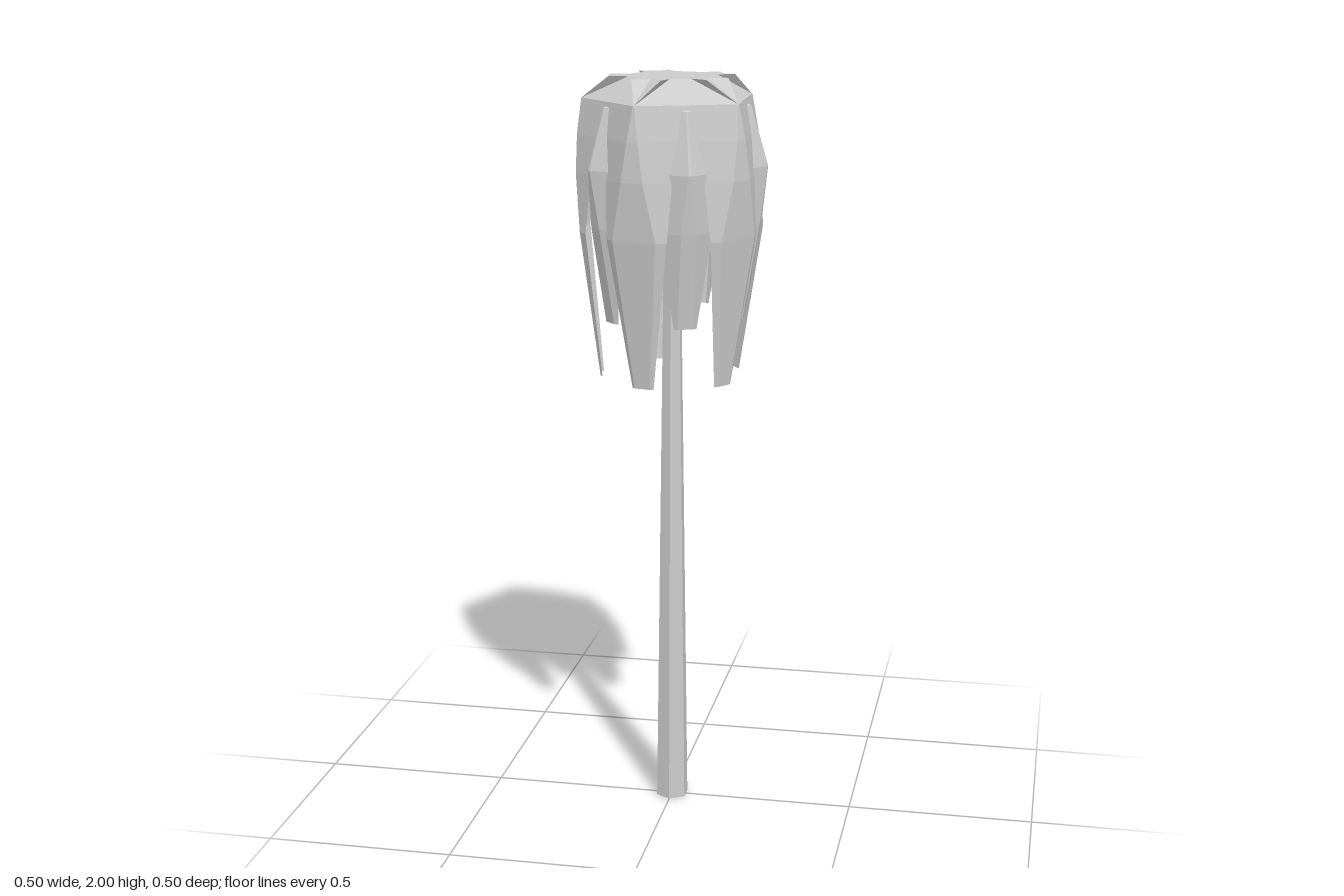
import * as THREE from 'three';

const mat = new THREE.MeshStandardMaterial({ color: 0xcccccc, flatShading: true, side: THREE.DoubleSide });
const rad = THREE.MathUtils.degToRad;

// Compass bearings of the long fronds; short fronds hang halfway between them
const LONG = [34, 103, 171, 241, 322];
const SHORT = LONG.map((a, i) => (a + (i < 4 ? LONG[i + 1] : LONG[0] + 360)) / 2);

// Frond rows from root to tip: [radius, height, half width of flat middle, half width]
const LONG_ROWS = [
  [0.235, 1.94, 0.002, 0.125], [0.246, 1.85, 0.015, 0.1], [0.249, 1.75, 0.03, 0.092],
  [0.238, 1.6, 0.06, 0.084], [0.19, 1.21, 0.022, 0.03],
];
const SHORT_ROWS = [
  [0.13, 1.95, 0.002, 0.015], [0.205, 1.925, 0.002, 0.035], [0.25, 1.77, 0.004, 0.07],
  [0.232, 1.62, 0.02, 0.068], [0.19, 1.37, 0.02, 0.03],
];

function mesh(name, geometry) {
  const m = new THREE.Mesh(geometry, mat);
  m.name = name;
  return m;
}

function polar(r, y, degrees) {
  return [r * Math.cos(rad(degrees)), y, r * Math.sin(rad(degrees))];
}

function build(points, index) {
  const g = new THREE.BufferGeometry();
  g.setAttribute('position', new THREE.Float32BufferAttribute(points.flat(), 3));
  g.setIndex(index);
  g.computeVertexNormals();
  return g;
}

// Drooping leaf: flat middle strip with two flanks swept back toward the trunk
function frond(rows, bearing) {
  const c = Math.cos(rad(bearing)), s = Math.sin(rad(bearing));
  const points = [], index = [];
  rows.forEach(([r, y, flat, half], row) => {
    for (const w of [half, flat, -flat, -half]) {
      const out = r - (Math.abs(w) - flat) * 0.7;
      points.push([out * c - w * s, y, out * s + w * c]);
    }
    if (row === 0) return;
    for (let j = 0; j < 3; j++) {
      const a = (row - 1) * 4 + j, b = a + 4;
      index.push(a, b, b + 1, a, b + 1, a + 1);
    }
  });
  return build(points, index);
}

// Star-shaped flat top with sloping panels down to the frond roots
function crownCap() {
  const points = [[0, 1.998, 0]], index = [];
  const n = LONG.length, at = (i, k) => 1 + (i % n) * 6 + k;
  LONG.forEach((a, i) => {
    points.push(
      polar(0.118, 1.998, a - 21),   // end of the straight side
      polar(0.166, 1.998, a - 14),   // star point before the corner
      polar(0.132, 1.998, a),        // notch
      polar(0.166, 1.998, a + 14),   // star point after the corner
      polar(0.118, 1.998, a + 21),   // start of the next side
      polar(0.235, 1.94, a)          // low outer corner
    );
    const corner = at(i, 5), nextCorner = at(i + 1, 5);
    for (let k = 0; k < 5; k++) {
      const next = k < 4 ? at(i, k + 1) : at(i + 1, 0);
      index.push(0, next, at(i, k));
      if (k < 4) index.push(at(i, k), next, corner);
    }
    index.push(at(i, 4), nextCorner, corner, at(i, 4), at(i + 1, 0), nextCorner);
  });
  return build(points, index);
}

export function createModel() {
  const group = new THREE.Group();

  // Tapered six-sided trunk, open at the foot
  const trunk = mesh('trunk', new THREE.CylinderGeometry(0.018, 0.045, 1.99, 6, 1, true));
  trunk.position.y = 0.995;
  group.add(trunk);

  // Crown
  group.add(mesh('crownCap', crownCap()));
  const bud = mesh('crownBud', new THREE.ConeGeometry(0.025, 0.008, 3));
  bud.position.y = 1.996;
  group.add(bud);

  // Two interleaved rings of fronds
  LONG.forEach((a) => group.add(mesh('longFrond', frond(LONG_ROWS, a))));
  SHORT.forEach((a) => group.add(mesh('shortFrond', frond(SHORT_ROWS, a))));

  return group;
}
